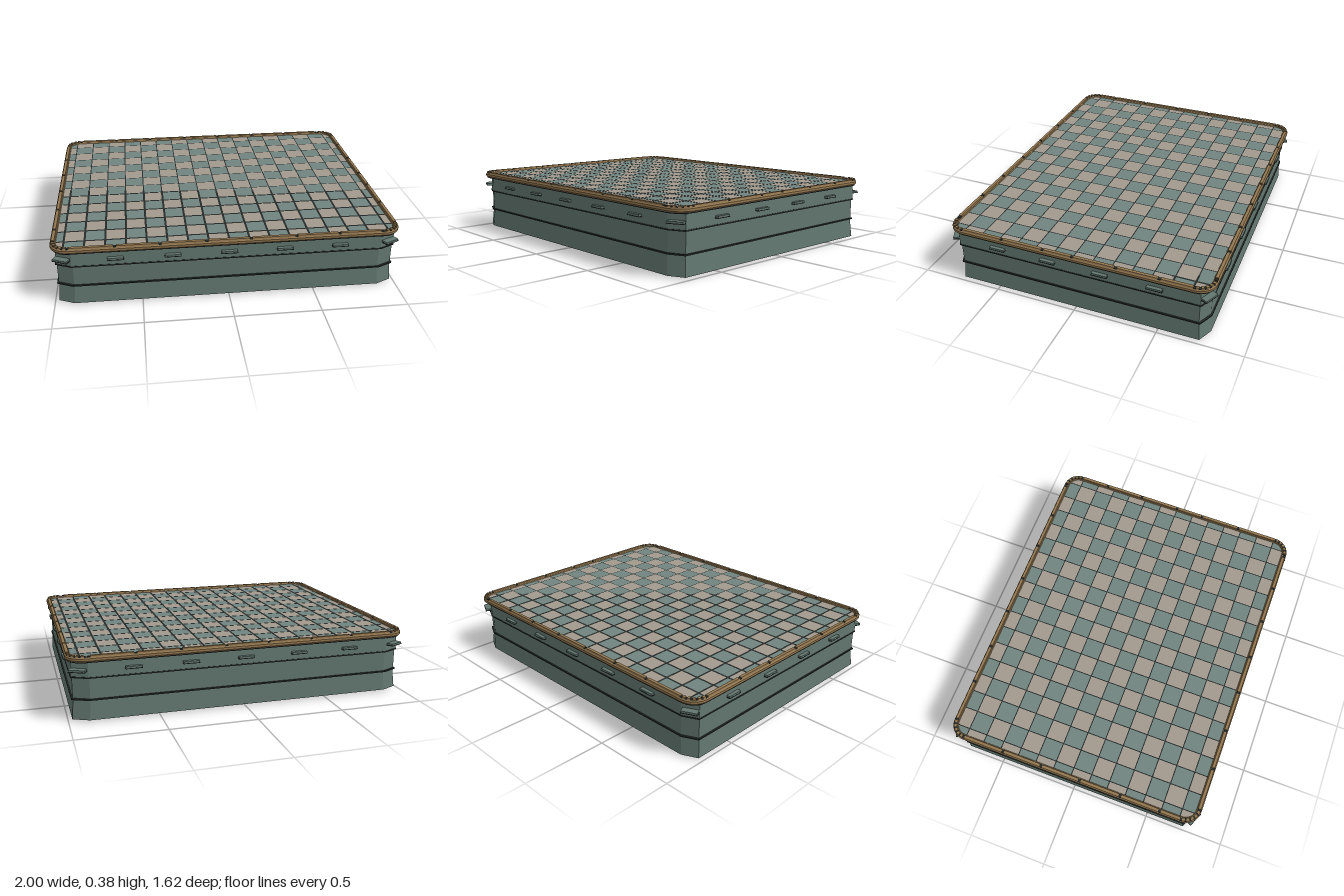
import * as THREE from 'three';
import { mergeGeometries } from 'three/addons/utils/BufferGeometryUtils.js';

const HX = 1, HZ = 0.805, R = 0.1; // rim half sizes and corner radius
const mat = (color, extra = {}) => new THREE.MeshStandardMaterial({ color, flatShading: true, ...extra });
const MATS = {
  wall: mat(0x62766f), dark: mat(0x252b2b), wood: mat(0x92764f),
  teal: mat(0x71847f), beige: mat(0xa39a8e),
};

function triangles(list) {
  const g = new THREE.BufferGeometry();
  g.setAttribute('position', new THREE.Float32BufferAttribute(list.flat(), 3));
  g.computeVertexNormals();
  return g;
}

// Sweep a profile of [offset, y] along a ground path of {x, z, nx, nz}
function sweep(path, profile, { loop = false, openProfile = false } = {}) {
  const rings = path.map(p => profile.map(([o, y]) => [p.x + p.nx * o, y, p.z + p.nz * o]));
  const out = [], n = path.length, m = profile.length;
  for (let i = 0; i < (loop ? n : n - 1); i++) {
    for (let j = 0; j < (openProfile ? m - 1 : m); j++) {
      const A = rings[i], B = rings[(i + 1) % n], k = (j + 1) % m;
      out.push(A[j], A[k], B[k], A[j], B[k], B[j]);
    }
  }
  if (!loop) {
    for (let j = 1; j < m - 1; j++) {
      const S = rings[0], E = rings[n - 1];
      out.push(S[0], S[j + 1], S[j], E[0], E[j], E[j + 1]);
    }
  }
  return triangles(out);
}

// Flat fan over a ground outline, facing up or down
function fan(points, y, centreY, up) {
  const out = [];
  points.forEach((p, i) => {
    const q = points[(i + 1) % points.length];
    const a = [p.x, y, p.z], b = [q.x, y, q.z], c = [0, centreY, 0];
    out.push(...(up ? [c, b, a] : [c, a, b]));
  });
  return triangles(out);
}

// Chamfered outline of the walls; normals act as equal insets in x and z
function wallPath() {
  const hx = 0.97, hz = 0.775, cx = 0.09, cz = 0.042;
  const pts = [];
  [[1, 1], [-1, 1], [-1, -1], [1, -1]].forEach(([sx, sz]) => {
    const pair = [[hx, hz - cz], [hx - cx, hz]];
    if (sx * sz < 0) pair.reverse();
    pair.forEach(([x, z]) => pts.push({ x: sx * x, z: sz * z, nx: sx, nz: sz }));
  });
  return pts;
}

// Point on a rounded rim corner; the quadrant follows from the angle
function cornerPoint(quadrant, t) {
  const mid = (quadrant + 0.5) * Math.PI / 2, a = (quadrant + t) * Math.PI / 2;
  const nx = Math.cos(a), nz = Math.sin(a);
  return {
    x: Math.sign(Math.cos(mid)) * (HX - R) + nx * R,
    z: Math.sign(Math.sin(mid)) * (HZ - R) + nz * R, nx, nz,
  };
}

function rimPath(steps = 8) {
  const pts = [];
  for (let q = 0; q < 4; q++) for (let i = 0; i <= steps; i++) pts.push(cornerPoint(q, i / steps));
  return pts;
}

// Keep the part of a polygon inside a convex outline
function clip(poly, outline) {
  outline.forEach((a, i) => {
    const b = outline[(i + 1) % outline.length];
    const side = p => (b.x - a.x) * (p.z - a.z) - (b.z - a.z) * (p.x - a.x);
    const next = [];
    poly.forEach((p, k) => {
      const q = poly[(k + 1) % poly.length], sp = side(p), sq = side(q);
      if (sp >= 0) next.push(p);
      if (sp * sq < 0) {
        const t = sp / (sp - sq);
        next.push({ x: p.x + (q.x - p.x) * t, z: p.z + (q.z - p.z) * t });
      }
    });
    poly = next;
  });
  return poly;
}

export function createModel() {
  const model = new THREE.Group();
  const add = (name, geometry, material) => {
    const mesh = new THREE.Mesh(geometry, material);
    mesh.name = name;
    model.add(mesh);
    return mesh;
  };

  // Walls in three courses, with a shallow dished underside
  const wall = wallPath();
  add('walls', sweep(wall, [[0.008, 0.01], [-0.002, 0.12], [0, 0.13], [0, 0.245], [0.006, 0.252], [0.002, 0.345]],
    { loop: true, openProfile: true }), MATS.wall);
  const base = wall.map(p => ({ x: p.x + p.nx * 0.008, z: p.z + p.nz * 0.008 }));
  add('underside', fan(base, 0.01, 0, false), MATS.dark);

  // Dark seams between the courses
  [0.125, 0.25].forEach(y => add('wallSeam',
    sweep(wall, [[-0.02, y - 0.004], [0.008, y - 0.004], [0.008, y + 0.004], [-0.02, y + 0.004]], { loop: true }), MATS.dark));

  // Slim tabs around the walls and across the corner chamfers
  const tab = (x, z, turn) => {
    const g = new THREE.BoxGeometry(0.09, 0.012, 0.04);
    const m = add('wallTab', g, MATS.wall);
    m.position.set(x, 0.295, z);
    m.rotation.y = turn;
    const edge = new THREE.Mesh(new THREE.BoxGeometry(0.094, 0.004, 0.042), MATS.dark);
    edge.name = 'tabEdge';
    edge.position.y = -0.006;
    m.add(edge);
  };
  for (const s of [-1, 1]) {
    [-0.64, -0.32, 0, 0.32, 0.64].forEach(x => tab(x, s * 0.78, 0));
    [-0.48, -0.16, 0.16, 0.48].forEach(z => tab(s * 0.975, z, Math.PI / 2));
    for (const t of [-1, 1]) tab(s * 0.94, t * 0.773, s * t * Math.atan2(0.042, 0.09));
  }

  // Wooden rim with a dark shadow line beneath
  const rim = rimPath();
  add('rim', sweep(rim, [[-0.04, 0.345], [-0.005, 0.345], [0, 0.351], [0, 0.364], [-0.005, 0.37], [-0.03, 0.37]],
    { loop: true }), MATS.wood);
  add('rimShadowLine', sweep(rim, [[-0.04, 0.338], [-0.01, 0.338], [-0.006, 0.346], [-0.04, 0.346]], { loop: true }), MATS.dark);

  // Coping pieces on the rim, separated by dark joints
  const caps = [], joints = [];
  const capProfile = [[-0.028, 0.366], [-0.004, 0.366], [-0.007, 0.379], [-0.025, 0.379]];
  const jointProfile = [[-0.027, 0.366], [-0.004, 0.366], [-0.006, 0.374], [-0.025, 0.374]];
  const run = (at, stops, gap) => {
    for (let i = 0; i < stops.length - 1; i++) {
      const a = stops[i] + gap, b = stops[i + 1] - gap;
      caps.push(sweep([at(a), at((a + b) / 2), at(b)], capProfile));
    }
    stops.forEach(s => joints.push(sweep([at(s - gap), at(s + gap)], jointProfile)));
  };
  for (let q = 0; q < 4; q++) run(t => cornerPoint(q, t), [0, 0.2, 0.4, 0.6, 0.8, 1], 0.04);
  const ex = HX - R, ez = HZ - R;
  const xs = [-ex, -0.64, -0.39, -0.13, 0.12, 0.38, 0.63, 0.88];
  run(x => ({ x, z: -HZ, nx: 0, nz: -1 }), xs, 0.008);
  run(s => ({ x: -s, z: HZ, nx: 0, nz: 1 }), xs.map(x => -x).reverse(), 0.008);
  run(z => ({ x: HX, z, nx: 1, nz: 0 }), [-ez, -0.51, -0.26, 0, 0.18, 0.44, ez], 0.008);
  run(s => ({ x: -HX, z: -s, nx: -1, nz: 0 }), [-ez, -0.57, -0.32, -0.06, 0.19, 0.44, ez], 0.008);
  add('rimCoping', mergeGeometries(caps), MATS.wood);
  add('rimJoints', mergeGeometries(joints), MATS.dark);

  // Checkered tile top over dark grout, trimmed to the rim
  const inner = rim.map(p => ({ x: p.x - p.nx * 0.027, z: p.z - p.nz * 0.027 }));
  add('grout', fan(inner, 0.36, 0.36, true), MATS.dark);
  const P = 0.1155, G = 0.003, tiles = { teal: [], beige: [] };
  for (let i = -9; i < 9; i++) {
    for (let j = -7; j < 7; j++) {
      const x0 = i * P + G, x1 = (i + 1) * P - G, z0 = j * P + G, z1 = (j + 1) * P - G;
      const poly = clip([{ x: x0, z: z0 }, { x: x1, z: z0 }, { x: x1, z: z1 }, { x: x0, z: z1 }], inner);
      const out = tiles[(i + j) % 2 === 0 ? 'teal' : 'beige'];
      for (let k = 1; k < poly.length - 1; k++) {
        [poly[0], poly[k + 1], poly[k]].forEach(p => out.push([p.x, 0.364, p.z]));
      }
    }
  }
  add('tealTiles', triangles(tiles.teal), MATS.teal);
  add('beigeTiles', triangles(tiles.beige), MATS.beige);
  return model;
}
